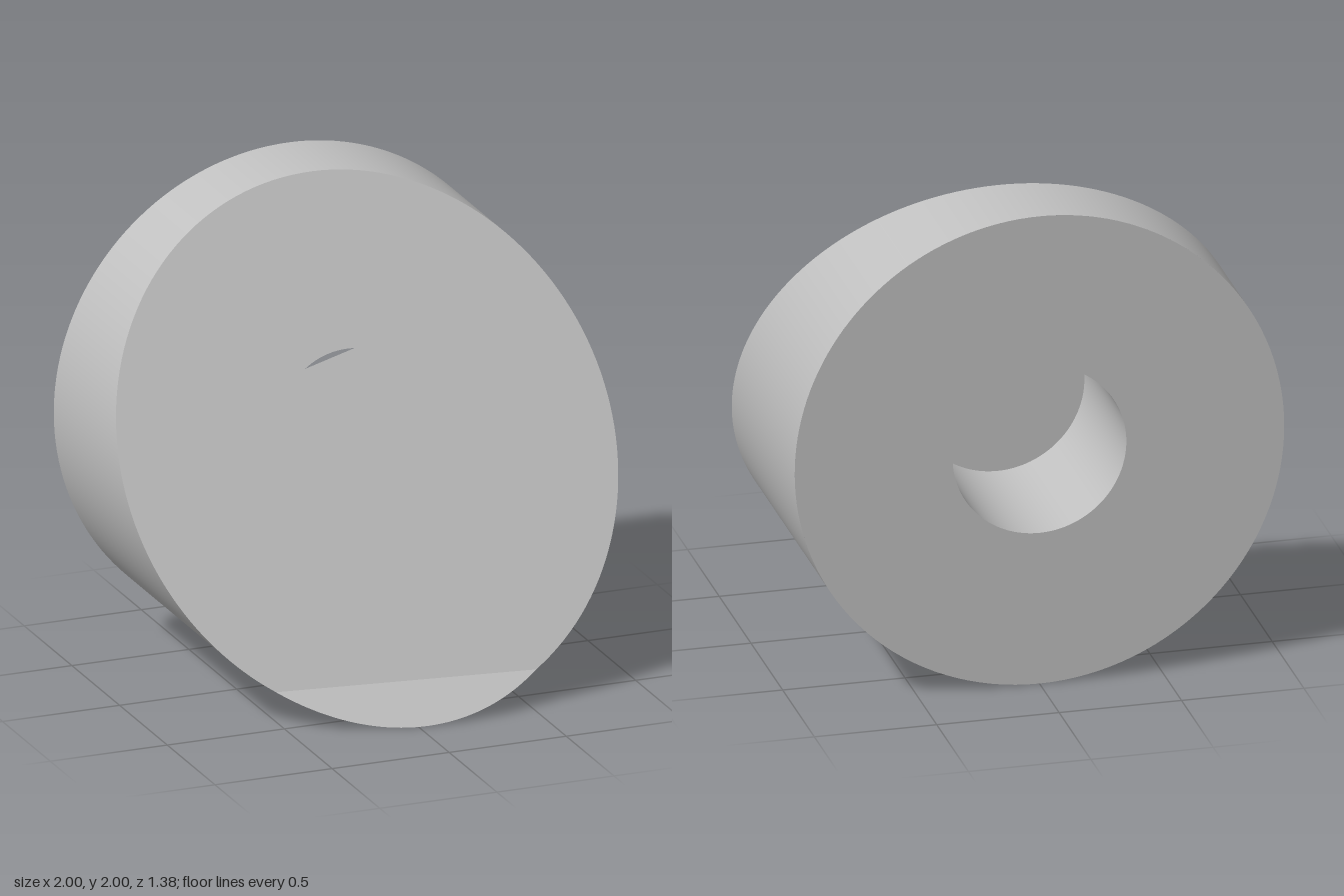
import * as THREE from 'three';

const BACK = -0.69, R = 1, BORE = 0.355;
const A = 0.14, B = 0.134, C = -0.48;      // main slanted plane: z = A + Bx + Cy
const KINK = -0.85, LIP = 0.88;            // lower facet starts at y = KINK and is steeper

// Height of the front face over a point (y measured from the axis)
const frontZ = (x, y) =>
  y >= KINK ? A + B * x + C * y : A + B * x + C * KINK + LIP * (KINK - y);

export function createModel() {
  const group = new THREE.Group();
  group.position.y = 1;
  const grey = new THREE.MeshStandardMaterial({ color: 0xc0c0c0 });
  grey.name = 'plain grey';

  const add = (name, geometry) => {
    const mesh = new THREE.Mesh(geometry, grey);
    mesh.name = name;
    group.add(mesh);
  };

  // Turn a surface to face the other way
  const flip = (g) => {
    const i = g.index.array, n = g.attributes.normal.array;
    for (let k = 0; k < i.length; k += 3) [i[k], i[k + 1]] = [i[k + 1], i[k]];
    for (let k = 0; k < n.length; k++) n[k] = -n[k];
    return g;
  };

  // Flat shape whose z follows a plane
  const face = (shape, zAt) => {
    const g = new THREE.ShapeGeometry(shape, 64);
    const p = g.attributes.position;
    for (let k = 0; k < p.count; k++) p.setZ(k, zAt(p.getX(k), p.getY(k)));
    g.computeVertexNormals();
    return g;
  };

  // Curved wall from the back up to zAt, between two angles
  const wall = (r, from, to, zAt) => {
    const g = new THREE.CylinderGeometry(r, r, 1, 128, 1, true, from + Math.PI / 2, to - from);
    g.rotateX(Math.PI / 2);
    const p = g.attributes.position;
    for (let k = 0; k < p.count; k++) {
      p.setZ(k, p.getZ(k) > 0 ? zAt(p.getX(k), p.getY(k)) : BACK);
    }
    return g;
  };

  const arc = (r, from, to) => new THREE.Shape().absarc(0, 0, r, from, to, false);

  // Angles where the facet line meets the rim
  const k0 = Math.asin(KINK), k1 = Math.PI - k0, k2 = k0 + 2 * Math.PI;

  // Bore floor, and the sliver where the bore breaks through the slanted face
  const reach = 0.3375;
  const floorZ = A - Math.hypot(B, C) * reach;
  const mid = Math.atan2(-C, -B), half = Math.acos(reach / BORE);
  const s0 = mid - half, s1 = mid + half, s2 = s0 + 2 * Math.PI;

  // Front: large slanted face and small lower facet
  const main = arc(R, k0, k1);
  main.holes.push(arc(BORE, s0, s1));
  add('slantedFace', face(main, frontZ));
  add('lowerFacet', face(arc(R, k1, k2),
    (x, y) => A + B * x + C * KINK + LIP * (KINK - y)));

  // Outer wall in two runs, so the kink falls on a vertex
  add('outerWallUpper', wall(R, k0, k1, frontZ));
  add('outerWallLower', wall(R, k1, k2, frontZ));

  // Back ring
  const ring = arc(R, 0, 2 * Math.PI);
  ring.holes.push(arc(BORE, 0, 2 * Math.PI));
  add('backFace', flip(face(ring, () => BACK)));

  // Blind bore
  add('boreWall', flip(wall(BORE, s1, s2, () => floorZ)));
  add('boreWallAtSlit', flip(wall(BORE, s0, s1, frontZ)));
  add('boreFloor', flip(face(arc(BORE, s1, s2), () => floorZ)));

  const model = new THREE.Group();
  model.name = 'slantedCylinder';
  group.name = 'body';
  model.add(group);
  return model;
}
